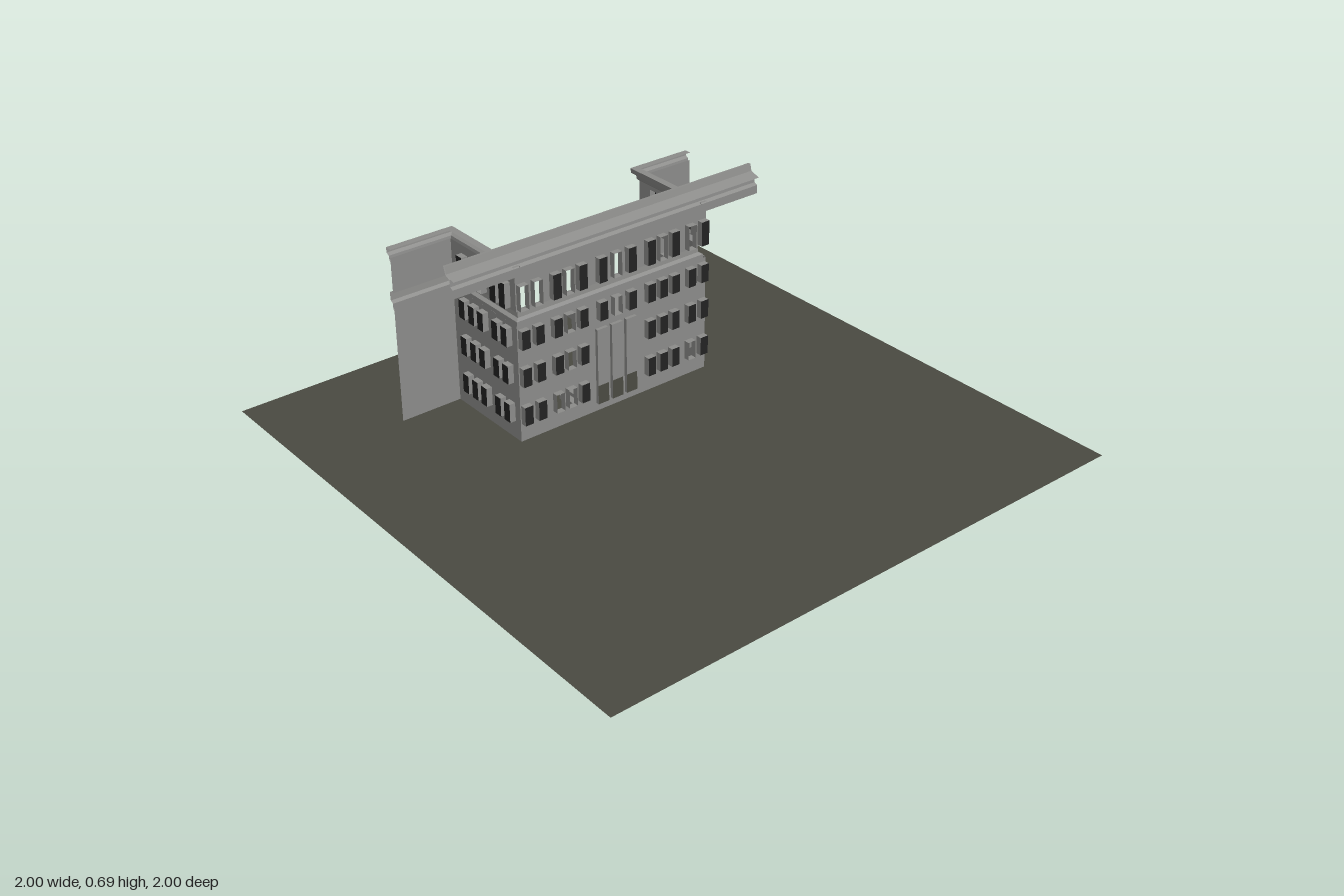
import * as THREE from 'three';

const mat = (name, color) => {
  const m = new THREE.MeshStandardMaterial({ color, side: THREE.DoubleSide });
  m.name = name;
  return m;
};

export function createModel() {
  const root = new THREE.Group();
  const stone = mat('grey stone', 0x8c8c8a);
  const glass = mat('dark glass', 0x222222);
  const olive = mat('olive ground', 0x4a4a42);

  const add = (parent, name, geo, material, x = 0, y = 0, z = 0) => {
    const m = new THREE.Mesh(geo, material);
    m.name = name;
    m.position.set(x, y, z);
    parent.add(m);
    return m;
  };
  const box = (parent, name, w, h, d, x, y, z, material = stone) =>
    add(parent, name, new THREE.BoxGeometry(w, h, d), material, x, y, z);

  // Moulding: profile [offset, y] swept along a path with mitred corners.
  // Each path point is [x, z, mx, mz], where m is the mitre direction.
  const sweep = (name, profile, path) => {
    const pos = [], idx = [], n = profile.length;
    for (const [x, z, mx, mz] of path)
      for (const [d, y] of profile) pos.push(x + d * mx, y, z + d * mz);
    for (let i = 0; i < path.length - 1; i++)
      for (let j = 0; j < n - 1; j++) {
        const a = i * n + j, b = a + n;
        idx.push(a, a + 1, b, b, a + 1, b + 1);
      }
    const g = new THREE.BufferGeometry();
    g.setAttribute('position', new THREE.Float32BufferAttribute(pos, 3));
    g.setIndex(idx);
    const flat = g.toNonIndexed();
    flat.computeVertexNormals();
    return add(root, name, flat, stone);
  };

  // Window recess: box open towards the court, with or without its pane
  const recess = (parent, u, y, w, h, depth, glazed) => {
    const g = new THREE.BoxGeometry(w, h, depth);
    const all = Array.from(g.index.array);
    g.setIndex(all.slice(0, 24));
    g.clearGroups();
    add(parent, 'windowReveal', g, stone, u, y, depth / 2);
    if (glazed) add(parent, 'windowPane', new THREE.PlaneGeometry(w, h), glass, u, y, depth);
  };

  // Flat wall between u0..u1 and y0..y1 with rectangular openings [u, y, w, h]
  const wall = (parent, name, u0, u1, y0, y1, holes) => {
    const rect = (S, a, b, c, d) => {
      const s = new S();
      s.moveTo(a, c); s.lineTo(b, c); s.lineTo(b, d); s.lineTo(a, d); s.closePath();
      return s;
    };
    const s = rect(THREE.Shape, u0, u1, y0, y1);
    for (const [u, y, w, h] of holes)
      s.holes.push(rect(THREE.Path, u - w / 2, u + w / 2, y - h / 2, y + h / 2));
    add(parent, name, new THREE.ShapeGeometry(s), stone);
  };

  const rows = [[0.1, 0.068], [0.242, 0.066], [0.378, 0.066], [0.526, 0.088]];
  const W = 0.032, DEPTH = 0.022;

  // Wall with four window rows; local +z points into the building
  const facade = (name, u0, u1, columns, empty, skip, extra, pilasters) => {
    const g = new THREE.Group();
    g.name = name;
    const lower = [...extra], upper = [];
    rows.forEach(([y, h], r) => columns.forEach((u, c) => {
      if (skip(r, u)) return;
      (r === 3 ? upper : lower).push([u, y, W, h]);
      recess(g, u, y, W, h, DEPTH, !empty[r].includes(c));
    }));
    wall(g, 'lowerWall', u0, u1, 0, 0.425, lower);
    wall(g, 'upperWall', u0, u1, 0.475, 0.6, upper);
    for (const [u, w] of pilasters) box(g, 'pilaster', w, 0.37, 0.012, u, 0.235, -0.006);
    root.add(g);
    return g;
  };

  // Ground
  add(root, 'ground', new THREE.PlaneGeometry(2, 2).rotateX(-Math.PI / 2), olive);

  // Central wall, with three tall entrance bays
  const bays = [-0.06, 0, 0.06];
  const cols = [-0.37, -0.315, -0.243, -0.192, -0.14, ...bays, 0.14, 0.192, 0.243, 0.315, 0.37];
  const main = facade('centralWall', -0.39, 0.39, cols,
    [[2, 3, 11], [3], [3, 6], [0, 1, 3, 6, 9, 11]],
    (r, u) => r < 2 && Math.abs(u) < 0.1,
    bays.map(u => [u, 0.17, 0.044, 0.28]),
    [-0.28, -0.1, 0.1, 0.28].map(u => [u, 0.026]));
  main.position.z = -0.25;
  for (const u of bays) {
    const g = new THREE.Group();
    g.name = 'entranceBay';
    main.add(g);
    recess(g, u, 0.17, 0.044, 0.28, 0.012, false);
    add(g, 'bayPanel', new THREE.PlaneGeometry(0.044, 0.21), stone, u, 0.205, 0.012);
    add(g, 'door', new THREE.PlaneGeometry(0.044, 0.07), olive, u, 0.065, 0.012);
  }

  // Side walls of the court, mirrored
  for (const s of [1, -1]) {
    const side = facade('sideWall', 0.25, 0.605, [0.294, 0.345, 0.425, 0.476, 0.53],
      [[], [], [], [2]], () => false, [], [[0.385, 0.03], [0.57, 0.03], [0.3195, 0.008], [0.4505, 0.008], [0.503, 0.008]]);
    side.rotation.y = Math.PI / 2;
    const holder = new THREE.Group();
    holder.name = s > 0 ? 'leftCourtSide' : 'rightCourtSide';
    side.position.x = 0.39;
    holder.scale.x = s;
    holder.add(side);
    root.add(holder);

    // Wing end wall and its top cornice
    const wing = new THREE.Group();
    wing.name = 'wingWall';
    wing.position.z = -0.605;
    root.add(wing);
    const a = s > 0 ? 0.39 : -0.617, b = s > 0 ? 0.617 : -0.39;
    wall(wing, 'wingLower', a, b, 0, 0.425, []);
    wall(wing, 'wingUpper', a, b, 0.475, 0.6, []);
    sweep('wingCornice',
      [[0, 0.585], [0.006, 0.59], [0.008, 0.605], [0.02, 0.612], [0.022, 0.63], [-0.004, 0.63]],
      [[s * 0.39, -0.25, -s, 0], [s * 0.39, -0.605, -s, -1], [s * 0.617, -0.605, 0, -1]]);
  }

  // Belt course running round the whole court
  sweep('beltCourse',
    [[0, 0.41], [0.006, 0.415], [0.006, 0.435], [0.018, 0.442], [0.02, 0.472], [0, 0.48]],
    [[-0.617, -0.605, 0, -1], [-0.39, -0.605, 1, -1], [-0.39, -0.25, 1, -1],
      [0.39, -0.25, -1, -1], [0.39, -0.605, -1, -1], [0.617, -0.605, 0, -1]]);

  // Long attic cornice above the central wall
  sweep('atticCornice',
    [[0, 0.595], [0, 0.625], [0.012, 0.632], [0.014, 0.655], [0.036, 0.665], [0.045, 0.692],
      [0.036, 0.692], [0.03, 0.668], [-0.008, 0.655]],
    [[-0.617, -0.25, 0, -1], [0.617, -0.25, 0, -1]]);

  // Entrance portico inside the court
  const portico = new THREE.Group();
  portico.name = 'portico';
  root.add(portico);
  box(portico, 'porticoRoof', 0.2, 0.02, 0.125, 0, 0.32, -0.3125);
  box(portico, 'porticoBeam', 0.184, 0.025, 0.115, 0, 0.2975, -0.3075);
  for (const x of [-0.085, -0.03, 0.03, 0.085])
    box(portico, 'porticoPillar', 0.016, 0.26, 0.016, x, 0.155, -0.355);
  box(portico, 'upperStep', 0.21, 0.013, 0.13, 0, 0.0215, -0.315);
  box(portico, 'lowerStep', 0.26, 0.015, 0.145, 0, 0.0075, -0.3225);

  return root;
}
